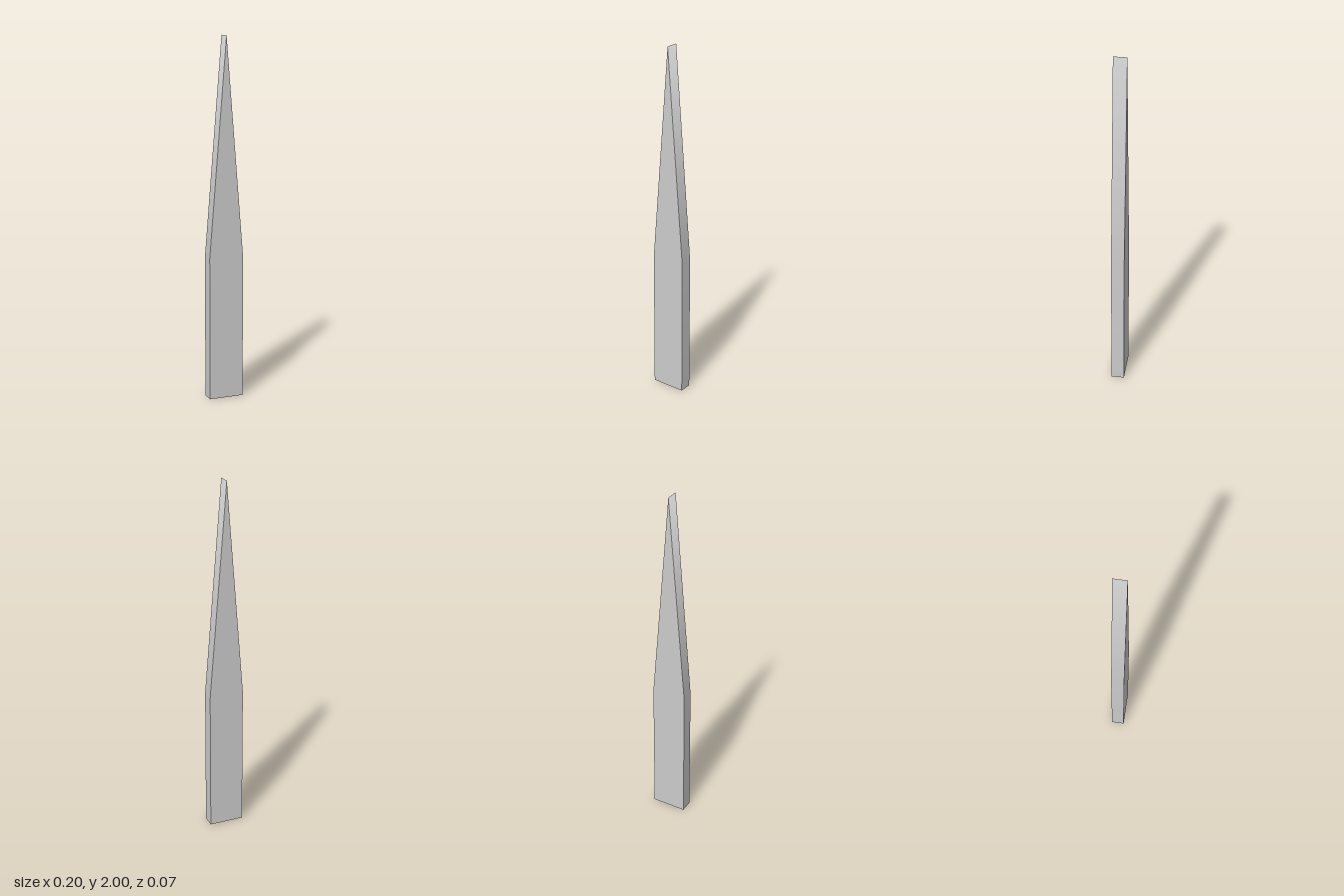
import * as THREE from 'three';

const HALF_WIDTH = 0.098, HALF_DEPTH = 0.0365, SHOULDER = 0.8, HEIGHT = 2;

export function createModel() {
  const group = new THREE.Group();
  group.name = 'pointedStake';

  // Upright outline: straight shaft tapering to a point
  const outline = new THREE.Shape([
    new THREE.Vector2(-HALF_WIDTH, 0),
    new THREE.Vector2(HALF_WIDTH, 0),
    new THREE.Vector2(HALF_WIDTH, SHOULDER),
    new THREE.Vector2(0, HEIGHT),
    new THREE.Vector2(-HALF_WIDTH, SHOULDER),
  ]);
  const geometry = new THREE.ExtrudeGeometry(outline, { depth: 2 * HALF_DEPTH, bevelEnabled: false });
  geometry.translate(0, 0, -HALF_DEPTH);

  // Narrow sides shade smoothly over the shoulders and the tip; faces and base stay flat
  const { position, normal } = geometry.attributes;
  const n = new THREE.Vector3();
  for (let i = 0; i < position.count; i++) {
    n.fromBufferAttribute(normal, i);
    if (Math.abs(n.z) > 0.5 || n.y < -0.5) continue;
    const y = position.getY(i);
    if (y > HEIGHT - 0.01) n.set(0, 1, 0);
    else if (y > SHOULDER - 0.01) n.set(Math.sign(position.getX(i)), 0.04, 0).normalize();
    normal.setXYZ(i, n.x, n.y, n.z);
  }

  const stake = new THREE.Mesh(geometry, new THREE.MeshStandardMaterial({ color: 0xcccccc }));
  stake.name = 'stake';
  group.add(stake);
  return group;
}
